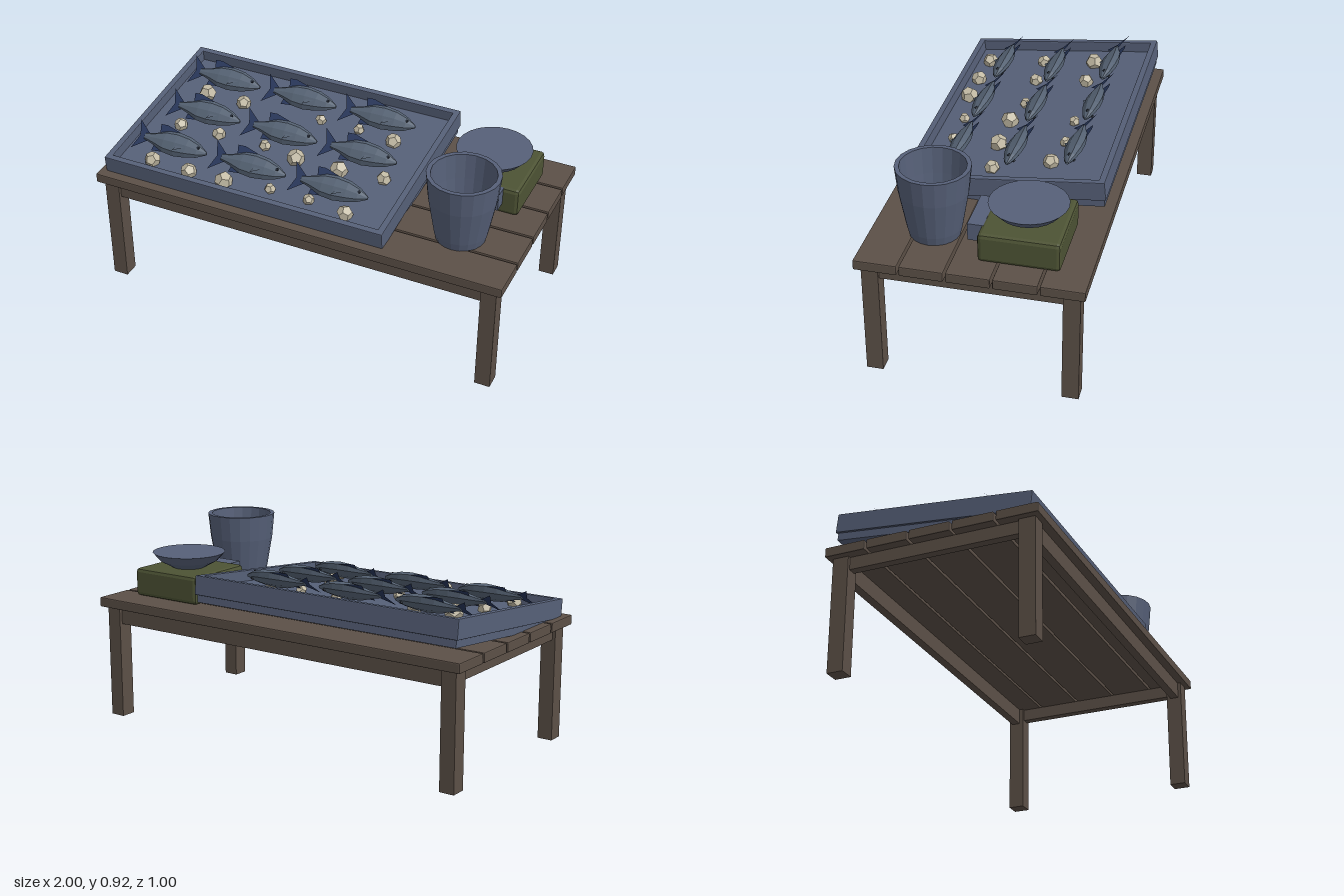
import * as THREE from 'three';
import { RoundedBoxGeometry } from 'three/addons/geometries/RoundedBoxGeometry.js';

const mat = (name, color, side = THREE.FrontSide) => {
  const m = new THREE.MeshStandardMaterial({ color, side });
  m.name = name;
  return m;
};

// faceted normals without touching the material
function flat(geo) {
  const g = geo.index ? geo.toNonIndexed() : geo;
  g.computeVertexNormals();
  return g;
}

// fish body: diamond-like loops lofted along x
function fishBodyGeometry() {
  // x, centre y, half height, half thickness
  const rings = [
    [-0.14, 0, 0.014, 0.007], [-0.09, 0, 0.028, 0.016], [-0.03, 0, 0.052, 0.028],
    [0.03, 0, 0.058, 0.032], [0.09, 0, 0.05, 0.03], [0.145, -0.003, 0.033, 0.021],
    [0.19, -0.006, 0.007, 0.006],
  ];
  const n = 8, pos = [], idx = [];
  for (const [x, cy, h, t] of rings)
    for (let i = 0; i < n; i++) {
      const a = (i / n) * Math.PI * 2;
      pos.push(x, cy + Math.cos(a) * h, Math.sin(a) * t);
    }
  for (let r = 0; r < rings.length - 1; r++)
    for (let i = 0; i < n; i++) {
      const a = r * n + i, b = r * n + (i + 1) % n, c = a + n, d = b + n;
      idx.push(a, b, c, b, d, c);
    }
  const last = (rings.length - 1) * n;
  for (let i = 1; i < n - 1; i++) {
    idx.push(0, i + 1, i);
    idx.push(last, last + i, last + i + 1);
  }
  const g = new THREE.BufferGeometry();
  g.setAttribute('position', new THREE.Float32BufferAttribute(pos, 3));
  g.setIndex(idx);
  return flat(g);
}

const finGeometry = (pts) => new THREE.ShapeGeometry(new THREE.Shape(pts.map(([x, y]) => new THREE.Vector2(x, y))));

export function createModel() {
  const model = new THREE.Group();
  model.name = 'fishStall';

  const wood = mat('brown wood', 0x5c5047);
  const metal = mat('blue grey metal', 0x566078);
  const green = mat('olive casing', 0x4d5334);
  const skin = mat('fish skin', 0x566374);
  const fin = mat('dark blue fin', 0x27365a, THREE.DoubleSide);
  const eyeDark = mat('eye dark', 0x1d2430);
  const ice = mat('pale ice', 0xc2baa4);

  const add = (parent, name, geo, material, x = 0, y = 0, z = 0) => {
    const m = new THREE.Mesh(geo, material);
    m.name = name;
    m.position.set(x, y, z);
    parent.add(m);
    return m;
  };
  const box = (w, h, d) => new THREE.BoxGeometry(w, h, d);
  const bevelBox = (w, h, d, r) => flat(new RoundedBoxGeometry(w, h, d, 1, r));

  // table: planks, legs and rails
  const table = new THREE.Group();
  table.name = 'table';
  model.add(table);
  for (let i = -2; i <= 2; i++)
    add(table, 'plank', bevelBox(2, 0.046, 0.192, 0.005), wood, 0, 0.562, i * 0.202);
  for (const s of [-1, 1]) {
    for (const f of [-1, 1]) add(table, 'leg', box(0.072, 0.54, 0.075), wood, s * 0.934, 0.27, f * 0.4375);
    add(table, 'longRail', box(1.8, 0.08, 0.04), wood, 0, 0.5, s * 0.44);
    add(table, 'endRail', box(0.04, 0.06, 0.8), wood, s * 0.935, 0.51, 0);
  }

  // sloping tray, origin at the middle of its rim
  const tray = new THREE.Group();
  tray.name = 'tray';
  tray.position.set(-0.27, 0.712, 0);
  tray.rotation.x = 0.103;
  model.add(tray);
  add(tray, 'trayBase', box(1.38, 0.035, 0.91), metal, 0, -0.107, 0);
  add(tray, 'trayFloor', box(1.36, 0.04, 0.88), metal, 0, -0.071, 0);
  for (const s of [-1, 1]) {
    add(tray, 'trayLongWall', bevelBox(1.4, 0.09, 0.03, 0.004), metal, 0, -0.045, s * 0.45);
    add(tray, 'trayEndWall', bevelBox(0.03, 0.09, 0.9, 0.004), metal, s * 0.685, -0.045, 0);
  }

  // fish, leaning back in three rows
  const body = fishBodyGeometry();
  const tail = finGeometry([[-0.115, 0.014], [-0.19, 0.073], [-0.165, 0], [-0.19, -0.07], [-0.115, -0.014]]);
  const dorsal = finGeometry([[-0.07, 0.03], [-0.082, 0.076], [-0.045, 0.078], [0.04, 0.055], [0.02, 0.04]]);
  const anal = finGeometry([[-0.08, -0.025], [-0.085, -0.058], [-0.02, -0.05], [-0.03, -0.04]]);
  const pectoral = finGeometry([[0.085, -0.012], [0.03, -0.04], [0.045, -0.012]]);
  const eye = new THREE.CylinderGeometry(0.007, 0.007, 0.006, 8).rotateX(Math.PI / 2);
  const lean = -0.87;
  [-0.27, 0, 0.267].forEach((z, row) => {
    for (let col = 0; col < 3; col++) {
      const fish = new THREE.Group();
      fish.name = 'fish';
      const x = -0.725 + col * 0.407 + (row === 1 ? 0.033 - col * 0.005 : 0);
      fish.position.set(x, 0.72 - z * 0.103, z);
      fish.rotation.x = lean;
      add(fish, 'fishBody', body, skin);
      add(fish, 'tailFin', tail, fin);
      add(fish, 'dorsalFin', dorsal, fin);
      add(fish, 'analFin', anal, fin);
      for (const s of [-1, 1]) {
        add(fish, 'pectoralFin', pectoral, skin, 0, 0, s * 0.033);
        add(fish, 'eye', eye, eyeDark, 0.148, 0.008, s * 0.019);
      }
      model.add(fish);
    }
  });

  // ice lumps: x, z, radius
  const lumps = [
    [-0.775, -0.177, 0.043], [-0.578, -0.177, 0.036], [-0.177, -0.203, 0.027], [0.02, -0.203, 0.027],
    [0.208, -0.177, 0.038], [-0.78, 0.08, 0.033], [-0.578, 0.075, 0.033], [-0.337, 0.07, 0.029],
    [-0.16, 0.103, 0.043], [0.06, 0.103, 0.043], [0.273, 0.08, 0.035], [-0.775, 0.358, 0.038],
    [-0.578, 0.367, 0.038], [-0.396, 0.367, 0.043], [-0.177, 0.332, 0.027], [0.016, 0.332, 0.027],
    [0.208, 0.358, 0.038],
  ];
  lumps.forEach(([x, z, r], i) => {
    const m = add(model, 'iceLump', new THREE.DodecahedronGeometry(r), ice, x, 0.661 - z * 0.103 + r * 0.5, z);
    m.rotation.set(0.55, i * 0.9, 0);
  });

  const lathe = (pts, n) => flat(new THREE.LatheGeometry(pts.map(([r, y]) => new THREE.Vector2(r, y)), n));

  // hollow bucket
  add(model, 'bucket', lathe([
    [0, 0], [0.112, 0], [0.122, 0.04], [0.153, 0.215], [0.165, 0.335],
    [0.145, 0.335], [0.135, 0.215], [0.115, 0.03], [0, 0.03],
  ], 20), metal, 0.705, 0.585, 0.222);

  // weighing scale with display and pan
  const scale = new THREE.Group();
  scale.name = 'scale';
  model.add(scale);
  add(scale, 'scaleBody', bevelBox(0.375, 0.135, 0.36, 0.018), green, 0.698, 0.6525, -0.19);
  add(scale, 'scaleDisplay', box(0.23, 0.08, 0.07), metal, 0.695, 0.678, 0.014);
  add(scale, 'scalePan', lathe([[0, 0], [0.075, 0], [0.138, 0.035], [0.174, 0.075], [0, 0.075]], 24),
    metal, 0.698, 0.718, -0.192);

  return model;
}
